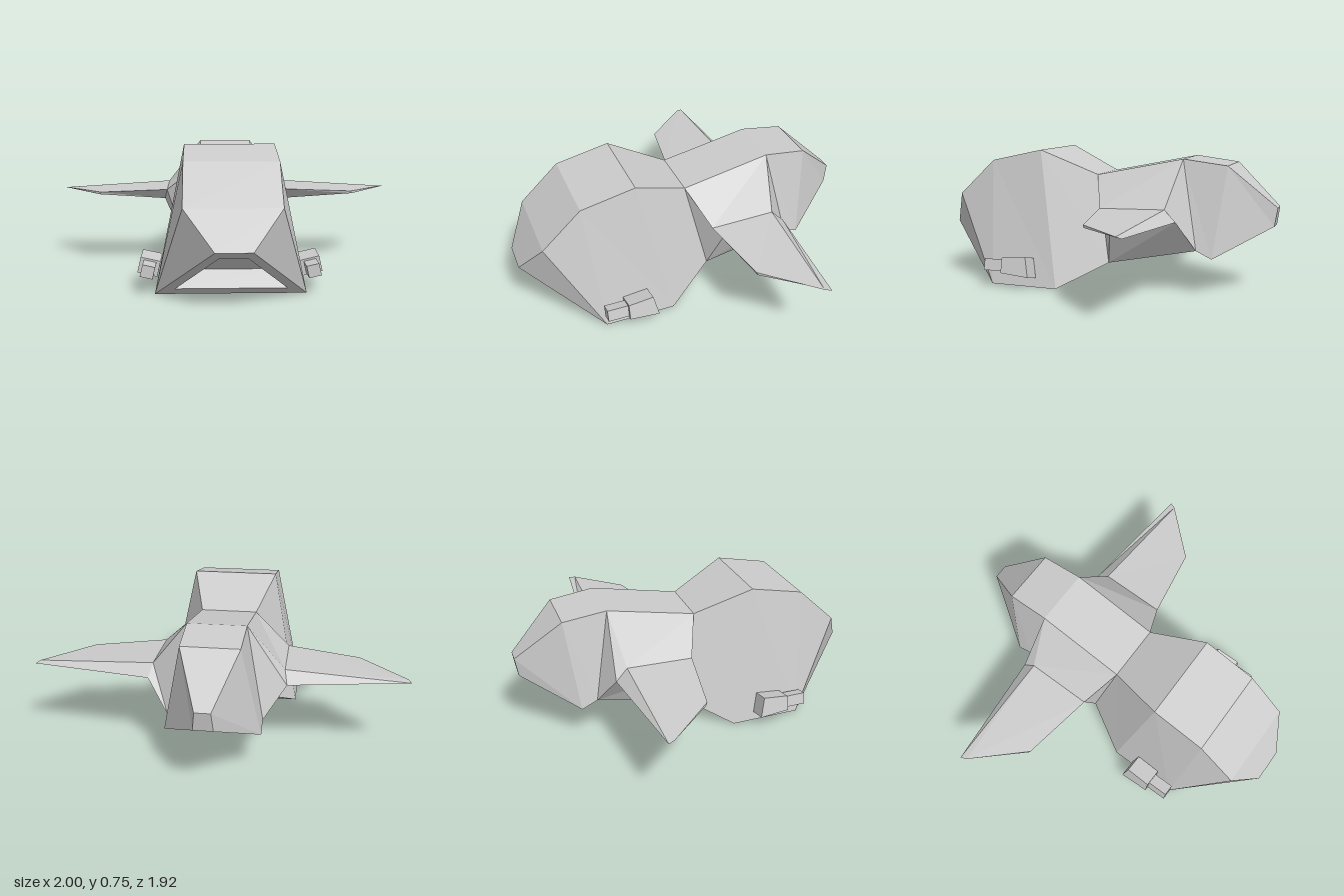
import * as THREE from 'three';

const material = new THREE.MeshStandardMaterial({ color: 0xcccccc, flatShading: true });

// Skin a list of four-cornered rings; rings run clockwise seen from the starting end.
function loft(name, rings, capStart, capEnd) {
  const out = [];
  const tri = (a, b, c) => {
    const n = b.clone().sub(a).cross(c.clone().sub(a));
    if (n.lengthSq() > 1e-12) for (const p of [a, b, c]) out.push(p.x, p.y, p.z);
  };
  const quad = (a, b, c, d) => { tri(a, b, c); tri(a, c, d); };
  const r = rings.map(ring => ring.map(p => new THREE.Vector3(...p)));
  for (let i = 0; i < r.length - 1; i++) {
    for (let j = 0; j < 4; j++) {
      const k = (j + 1) % 4;
      quad(r[i][j], r[i][k], r[i + 1][k], r[i + 1][j]);
    }
  }
  if (capStart) quad(...[...r[0]].reverse());
  if (capEnd) quad(...r[r.length - 1]);
  const geometry = new THREE.BufferGeometry();
  geometry.setAttribute('position', new THREE.Float32BufferAttribute(out, 3));
  geometry.computeVertexNormals();
  const mesh = new THREE.Mesh(geometry, material);
  mesh.name = name;
  return mesh;
}

const mirror = rings => rings.map(ring => ring.map(([x, y, z]) => [-x, y, z]).reverse());

// Symmetric hull section: half width, height and depth of the top and bottom edges
const section = ([tw, ty, tz], [bw, by, bz]) =>
  [[-tw, ty, tz], [tw, ty, tz], [bw, by, bz], [-bw, by, bz]];

// Gun section, rolled outward; the top edge may be shifted forward
function gunSection(z, hw, hh, topShift = 0) {
  const c = Math.cos(0.23), s = Math.sin(0.23);
  return [[-1, 1], [1, 1], [1, -1], [-1, -1]].map(([i, j]) => {
    const x = i * hw, y = j * hh;
    return [0.426 + x * c - y * s, 0.117 + x * s + y * c, z + (j > 0 ? topShift : 0)];
  });
}

export function createModel() {
  const model = new THREE.Group();
  model.name = 'spacecraft';

  // Hull, from the recessed intake at the front to the blunt tail
  const chin = [0.39, 0, 0.57];
  model.add(loft('hull', [
    section([0.07, 0.34, 0.835], [0.285, 0.125, 0.557]),
    section([0.07, 0.255, 0.90], [0.285, 0.04, 0.622]),
    section([0.09, 0.295, 0.96], chin),
    section([0.24, 0.485, 0.845], chin),
    section([0.24, 0.685, 0.63], chin),
    section([0.24, 0.75, 0.33], [0.39, 0, 0.18]),
    section([0.155, 0.615, 0.02], [0.25, 0.14, -0.08]),
    section([0.155, 0.715, -0.47], [0.25, 0.24, -0.57]),
    section([0.15, 0.685, -0.71], [0.25, 0.2, -0.655]),
    section([0.04, 0.46, -0.96], [0.05, 0.36, -0.945]),
  ], true, true));

  // Side pods narrow from the waist to the wing roots
  const waist = [[0.155, 0.615, 0.02], [0.25, 0.14, -0.08], [0.25, 0.24, -0.57], [0.155, 0.715, -0.47]];
  const root = [[0.35, 0.455, -0.065], [0.365, 0.395, -0.13], [0.365, 0.405, -0.49], [0.35, 0.465, -0.425]];
  const tip = [[0.745, 0.432, -0.135], [0.75, 0.418, -0.14], [1, 0.425, -0.425], [0.985, 0.43, -0.39]];

  const gunBody = [gunSection(0.465, 0.053, 0.042), gunSection(0.3, 0.053, 0.055, 0.025)];
  const gunBarrel = [gunSection(0.58, 0.033, 0.032), gunSection(0.45, 0.033, 0.032)];

  for (const side of ['left', 'right']) {
    const place = side === 'left' ? rings => rings : mirror;
    model.add(loft(side + 'WingPod', place([waist, root]), false, false));
    model.add(loft(side + 'Wing', place([root, tip]), false, true));

    const gun = new THREE.Group();
    gun.name = side + 'Gun';
    gun.add(loft('gunBody', place(gunBody), true, true));
    gun.add(loft('gunBarrel', place(gunBarrel), true, true));
    model.add(gun);
  }
  return model;
}
